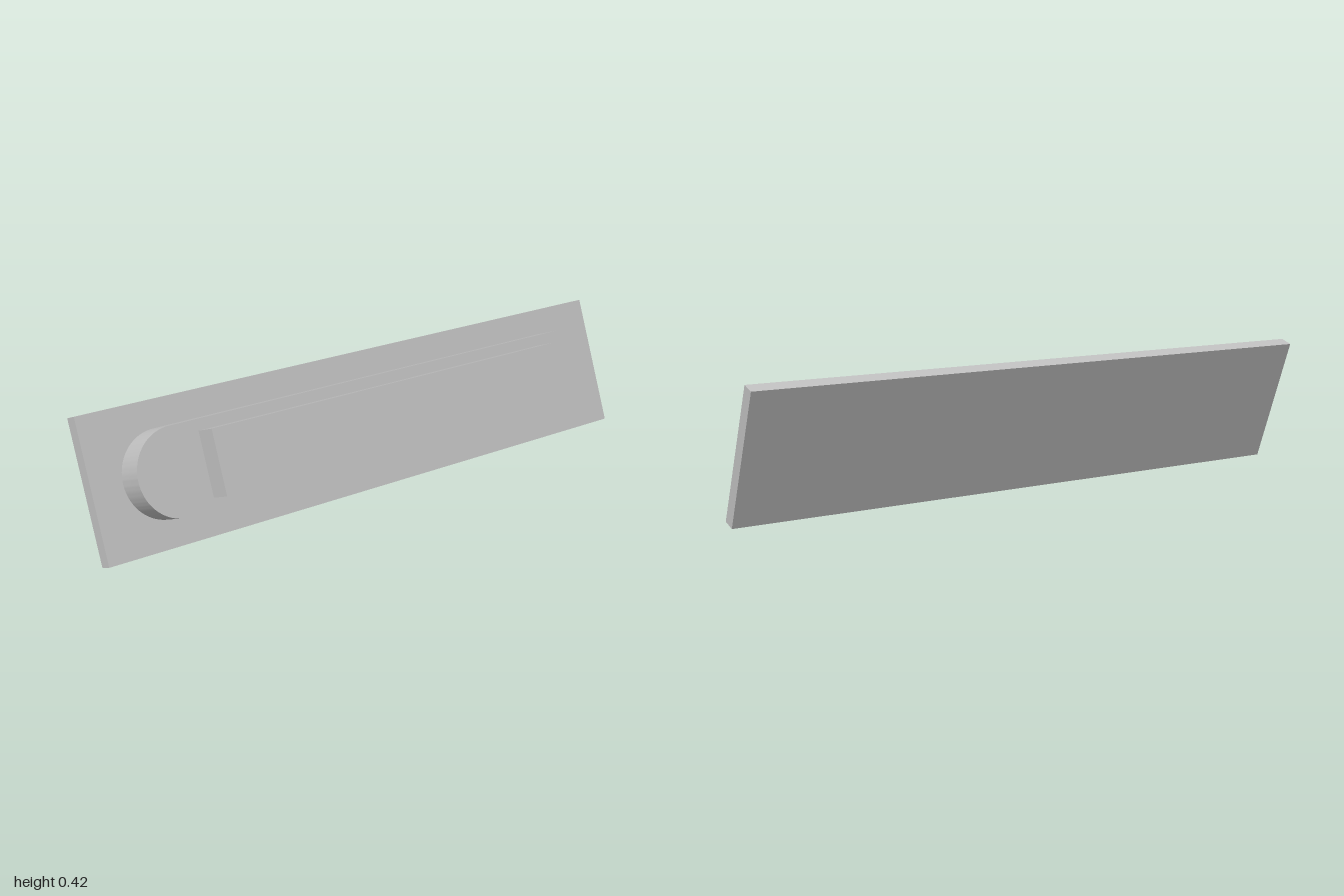
import * as THREE from 'three';
import { toCreasedNormals } from 'three/addons/utils/BufferGeometryUtils.js';

export function createModel() {
  const model = new THREE.Group();
  const grey = new THREE.MeshStandardMaterial({ color: 0xc0c0c0 });
  grey.name = 'light grey';

  // Everything is stacked along z from the plate's lower back edge, then leaned back
  const panel = new THREE.Group();
  panel.name = 'tiltedPanel';
  panel.rotation.x = THREE.MathUtils.degToRad(-20);
  model.add(panel);

  const height = 0.428, plateFront = 0.041, padFront = 0.131, barFront = 0.203;

  function add(name, geometry, z) {
    const mesh = new THREE.Mesh(geometry, grey);
    mesh.name = name;
    mesh.position.set(0, height / 2, z);
    panel.add(mesh);
  }

  // Back plate
  add('backPlate', new THREE.BoxGeometry(2, height, plateFront), plateFront / 2);

  // Raised pad with round ends
  const radius = 0.1315, straight = 0.9 - radius;
  const outline = new THREE.Shape();
  outline.moveTo(-straight, -radius);
  outline.lineTo(straight, -radius);
  outline.absarc(straight, 0, radius, -Math.PI / 2, Math.PI / 2, false);
  outline.lineTo(-straight, radius);
  outline.absarc(-straight, 0, radius, Math.PI / 2, Math.PI * 1.5, false);
  const pad = new THREE.ExtrudeGeometry(outline, {
    depth: padFront - plateFront, bevelEnabled: false, curveSegments: 32,
  });
  add('roundedPad', toCreasedNormals(pad, 0.6), plateFront);

  // Rectangular bar on the pad
  add('frontBar', new THREE.BoxGeometry(1.355, 0.195, barFront - padFront), (padFront + barFront) / 2);

  return model;
}
